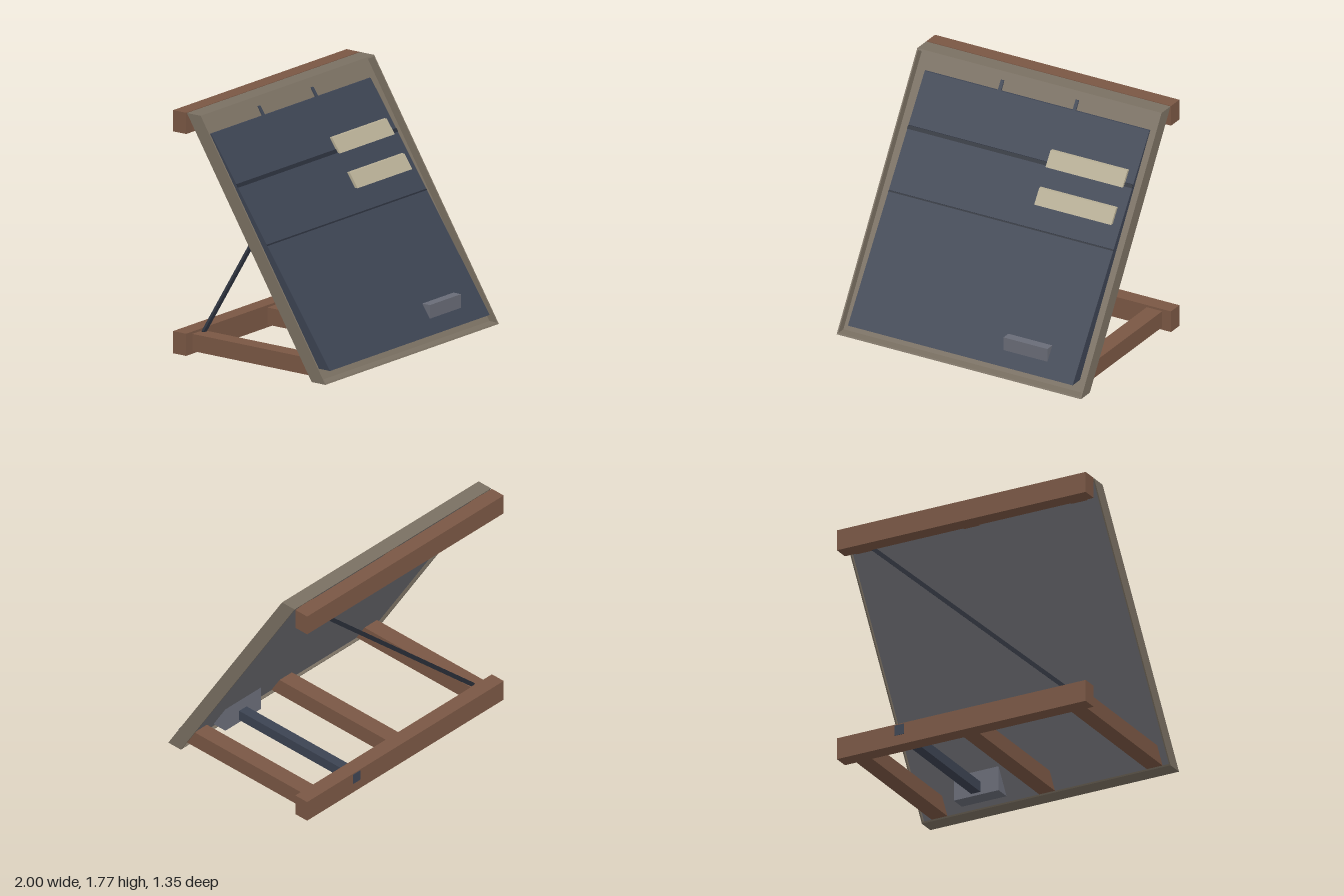
import * as THREE from 'three';

const mat = (name, color) => {
  const m = new THREE.MeshStandardMaterial({ color });
  m.name = name;
  return m;
};

export function createModel() {
  const group = new THREE.Group();
  group.name = 'leaningPanelOnStand';

  const taupe = mat('taupe frame', 0x7a7062);
  const slate = mat('slate blue', 0x3c4352);
  const dark = mat('dark line', 0x272c37);
  const cream = mat('cream', 0xb6ad94);
  const wood = mat('brown wood', 0x7a5744);
  const grey = mat('grey metal', 0x696c77);
  const backGrey = mat('grey back', 0x74747a);

  // Leaning planes: z as a function of height
  const frameZ = (y) => 0.675 - 0.623 * y;
  const panelZ = (y) => 0.655 - 0.68 * (y - 0.08);
  const frame = (d) => (y) => frameZ(y) - d;
  const panel = (d) => (y) => panelZ(y) + d;
  const flat = (z) => () => z;

  // Box whose front and back faces follow the given planes
  function slab(name, material, x0, x1, y0, y1, front, back) {
    const geo = new THREE.BoxGeometry(x1 - x0, y1 - y0, 1);
    geo.translate((x0 + x1) / 2, (y0 + y1) / 2, 0);
    const p = geo.attributes.position;
    for (let i = 0; i < p.count; i++) {
      const y = p.getY(i);
      p.setZ(i, p.getZ(i) > 0 ? front(y) : back(y));
    }
    geo.computeVertexNormals();
    const mesh = new THREE.Mesh(geo, material);
    mesh.name = name;
    group.add(mesh);
    return mesh;
  }

  // Shallow tray: thin walls, backing sheet and rear sheet
  const top = 1.775;
  slab('bottomWall', taupe, -1, 1, 0, 0.01, frame(0), frame(0.122));
  slab('topWall', taupe, -1, 1, top - 0.01, top, frame(0), frame(0.122));
  for (const s of [-1, 1]) {
    slab('sideWall', taupe, s < 0 ? -1 : 0.99, s < 0 ? -0.99 : 1, 0.01, top - 0.01, frame(0), frame(0.122));
  }
  slab('backing', taupe, -0.99, 0.99, 0.01, top - 0.01, frame(0.07), frame(0.085));
  slab('rearSheet', backGrey, -0.99, 0.99, 0.01, top - 0.01, frame(0.085), frame(0.095));

  // Main panel with its seams and top tabs
  slab('mainPanel', slate, -0.92, 0.92, 0.08, 1.63, panel(0), frame(0.078));
  slab('upperSeam', dark, -0.92, 0.92, 1.28, 1.302, panel(0.005), panel(-0.002));
  slab('lowerSeam', dark, -0.92, 0.92, 0.898, 0.906, panel(0.003), panel(-0.002));
  for (const x of [-0.31, 0.302]) {
    slab('topTab', slate, x - 0.013, x + 0.013, 1.62, 1.692, panel(0), frame(0.078));
  }

  // Cream plates
  for (const y of [1.05, 1.278]) {
    slab('creamPlate', cream, 0.225, 0.855, y, y + 0.102, panel(0.023), panel(-0.002));
  }

  // Block through the lower edge, with its rear bar
  slab('lowerBlock', grey, 0.315, 0.675, 0.055, 0.275, flat(0.59), flat(0.43));
  slab('rearBar', slate, 0.46, 0.535, 0.075, 0.154, flat(0.44), flat(-0.678));

  // Wooden stand
  slab('topBeam', wood, -1, 1, 1.62, top, flat(-0.56), flat(-0.675));
  slab('bottomBeam', wood, -1, 1, 0, 0.162, flat(-0.56), flat(-0.675));
  for (const x of [-0.865, 0, 0.865]) {
    slab('floorStrut', wood, x - 0.063, x + 0.063, 0.02, 0.145, frame(0.096), flat(-0.565));
    slab('topBracket', wood, x - 0.063, x + 0.063, 1.635, 1.76, flat(-0.52), flat(-0.565));
  }

  // Diagonal brace behind the panel
  const a = new THREE.Vector3(-0.84, 0.14, -0.53);
  const b = new THREE.Vector3(0.83, 1.68, -0.54);
  const brace = new THREE.Mesh(new THREE.BoxGeometry(0.03, a.distanceTo(b), 0.02), dark);
  brace.name = 'diagonalBrace';
  brace.position.copy(a).add(b).multiplyScalar(0.5);
  brace.quaternion.setFromUnitVectors(new THREE.Vector3(0, 1, 0), b.clone().sub(a).normalize());
  group.add(brace);

  return group;
}
